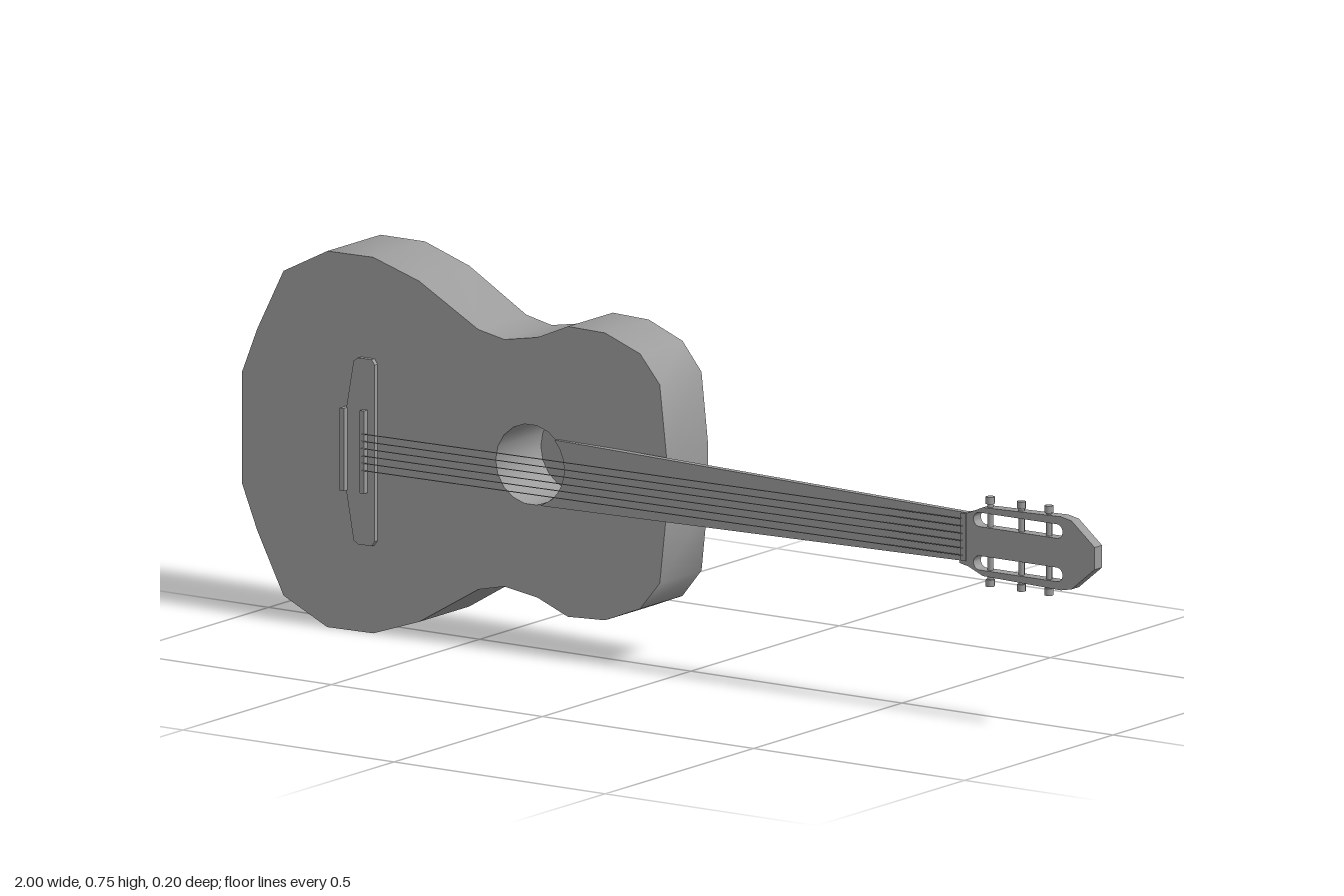
import * as THREE from 'three';
import { toCreasedNormals } from 'three/addons/utils/BufferGeometryUtils.js';

const grey = new THREE.MeshStandardMaterial({ color: 0x9c9c9c });
const BODY_Y = 0.373, NECK_Y = 0.365, BACK = -0.1;
const HOLE = { x: -0.34, y: 0.377, r: 0.08 };

// Sloping plane of the soundboard
const topZ = (x) => 0.09 - 0.05 * (x + 1) / 0.97;

function add(group, name, geometry, x = 0, y = 0, z = 0) {
  const mesh = new THREE.Mesh(geometry, grey);
  mesh.name = name;
  mesh.position.set(x, y, z);
  group.add(mesh);
}

// Closed outline from an upper half, mirrored about y = centre
function mirrored(half, centre) {
  const up = half.map(([x, h]) => new THREE.Vector2(x, centre + h));
  const down = half.map(([x, h]) => new THREE.Vector2(x, centre - h)).reverse();
  return new THREE.Shape([...up, ...down]);
}

function circlePoints(x, y, r, sides) {
  const pts = [];
  for (let i = 0; i < sides; i++) {
    const a = i / sides * Math.PI * 2;
    pts.push(new THREE.Vector2(x + r * Math.cos(a), y + r * Math.sin(a)));
  }
  return pts;
}

// Slab between z0 and z1; either may be a function of x
function slab(shape, z0, z1, crease = 0.5) {
  const g = new THREE.ExtrudeGeometry(shape, { depth: 1, bevelEnabled: false, curveSegments: 6 });
  const p = g.attributes.position;
  for (let i = 0; i < p.count; i++) {
    const z = p.getZ(i) > 0.5 ? z1 : z0;
    p.setZ(i, typeof z === 'function' ? z(p.getX(i)) : z);
  }
  return toCreasedNormals(g, crease);
}

// Rounded back of the neck, lofted through half-ellipse sections
function neckBack() {
  const sections = [[-0.04, 0.063, 0.026], [0.38, 0.055, 0.026], [0.56, 0.051, 0.019], [0.69, 0.048, 0.011]];
  const n = 12, pos = [], idx = [];
  sections.forEach(([x, w, d], s) => {
    for (let i = 0; i <= n; i++) {
      const a = i / n * Math.PI;
      pos.push(x, NECK_Y + w * Math.cos(a), 0.049 - d * Math.sin(a));
    }
    if (s === 0) return;
    for (let i = 0; i < n; i++) {
      const b = s * (n + 1) + i, a = b - n - 1;
      idx.push(a, b, a + 1, b, b + 1, a + 1);
    }
  });
  // end cap at the head
  const e = (sections.length - 1) * (n + 1);
  for (let i = 1; i < n; i++) idx.push(e, e + i + 1, e + i);
  const g = new THREE.BufferGeometry();
  g.setAttribute('position', new THREE.Float32BufferAttribute(pos, 3));
  g.setIndex(idx);
  return toCreasedNormals(g, 0.8);
}

function makeBody() {
  const body = new THREE.Group();
  body.name = 'body';
  const shape = mirrored([
    [-1, 0.11], [-0.965, 0.2], [-0.905, 0.322], [-0.805, 0.373], [-0.7, 0.373],
    [-0.595, 0.338], [-0.46, 0.258], [-0.4, 0.245], [-0.325, 0.258], [-0.255, 0.288],
    [-0.17, 0.285], [-0.09, 0.253], [-0.045, 0.197], [-0.03, 0.06],
  ], BODY_Y);
  const rim = circlePoints(HOLE.x, HOLE.y, HOLE.r, 18);
  shape.holes.push(new THREE.Path(rim));
  add(body, 'soundBox', slab(shape, BACK, topZ, 0.85));
  // floor of the sound hole
  add(body, 'soundHoleFloor', slab(new THREE.Shape(rim), BACK, BACK + 0.008));
  return body;
}

function makeBridge() {
  const bridge = new THREE.Group();
  bridge.name = 'bridge';
  const plate = mirrored([
    [-0.755, 0.08], [-0.738, 0.178], [-0.728, 0.185], [-0.697, 0.185], [-0.69, 0.175],
  ], 0.36);
  add(bridge, 'bridgePlate', slab(plate, (x) => topZ(x) - 0.004, (x) => topZ(x) + 0.01));
  // tie bar and saddle
  for (const [name, x] of [['tieBar', -0.757], ['saddle', -0.711]]) {
    add(bridge, name, new THREE.BoxGeometry(0.01, 0.164, 0.022), x, 0.362, topZ(x) + 0.011);
  }
  return bridge;
}

function makeNeck() {
  const neck = new THREE.Group();
  neck.name = 'neck';
  // Fingerboard, its end cut to follow the sound hole
  const arcX = (y) => HOLE.x + Math.sqrt(0.082 ** 2 - (y - HOLE.y) ** 2);
  const board = [new THREE.Vector2(0.7, 0.317), new THREE.Vector2(0.7, 0.413)];
  for (let i = 0; i <= 8; i++) {
    const y = 0.434 - i / 8 * 0.135;
    board.push(new THREE.Vector2(arcX(y), y));
  }
  add(neck, 'fingerboard', slab(new THREE.Shape(board), 0.046, 0.06));
  add(neck, 'neckBack', neckBack());
  add(neck, 'nut', new THREE.BoxGeometry(0.012, 0.094, 0.016), 0.69, NECK_Y, 0.057);
  return neck;
}

function makeHead() {
  const head = new THREE.Group();
  head.name = 'head';
  const y0 = 0.361;
  const shape = mirrored([
    [0.68, 0.049], [0.7, 0.053], [0.735, 0.068], [0.92, 0.073], [0.945, 0.068], [1, 0.022],
  ], y0);
  // two rounded string slots
  for (const s of [1, -1]) {
    const slot = new THREE.Path();
    const y = y0 + s * 0.043, r = 0.014;
    slot.absarc(0.91, y, r, -Math.PI / 2, Math.PI / 2, false);
    slot.absarc(0.727, y, r, Math.PI / 2, Math.PI * 1.5, false);
    slot.closePath();
    shape.holes.push(slot);
  }
  add(head, 'headPlate', slab(shape, 0.037, 0.062));
  // tuning rollers and their knobs
  for (const s of [1, -1]) {
    for (const x of [0.745, 0.819, 0.884]) {
      add(head, 'tuningRoller', new THREE.CylinderGeometry(0.006, 0.006, 0.062, 8), x, y0 + s * 0.055, 0.05);
      add(head, 'tuningKnob', new THREE.CylinderGeometry(0.009, 0.009, 0.014, 8), x, y0 + s * 0.082, 0.051);
    }
  }
  return head;
}

function makeStrings() {
  const strings = new THREE.Group();
  strings.name = 'strings';
  for (let i = 0; i < 6; i++) {
    const t = i - 2.5;
    const path = new THREE.LineCurve3(
      new THREE.Vector3(-0.712, 0.362 + t * 0.0145, 0.097),
      new THREE.Vector3(0.69, NECK_Y + t * 0.0145, 0.065));
    add(strings, 'string', new THREE.TubeGeometry(path, 1, 0.001, 5));
  }
  return strings;
}

export function createModel() {
  const guitar = new THREE.Group();
  guitar.name = 'guitar';
  guitar.add(makeBody(), makeBridge(), makeNeck(), makeHead(), makeStrings());
  return guitar;
}
